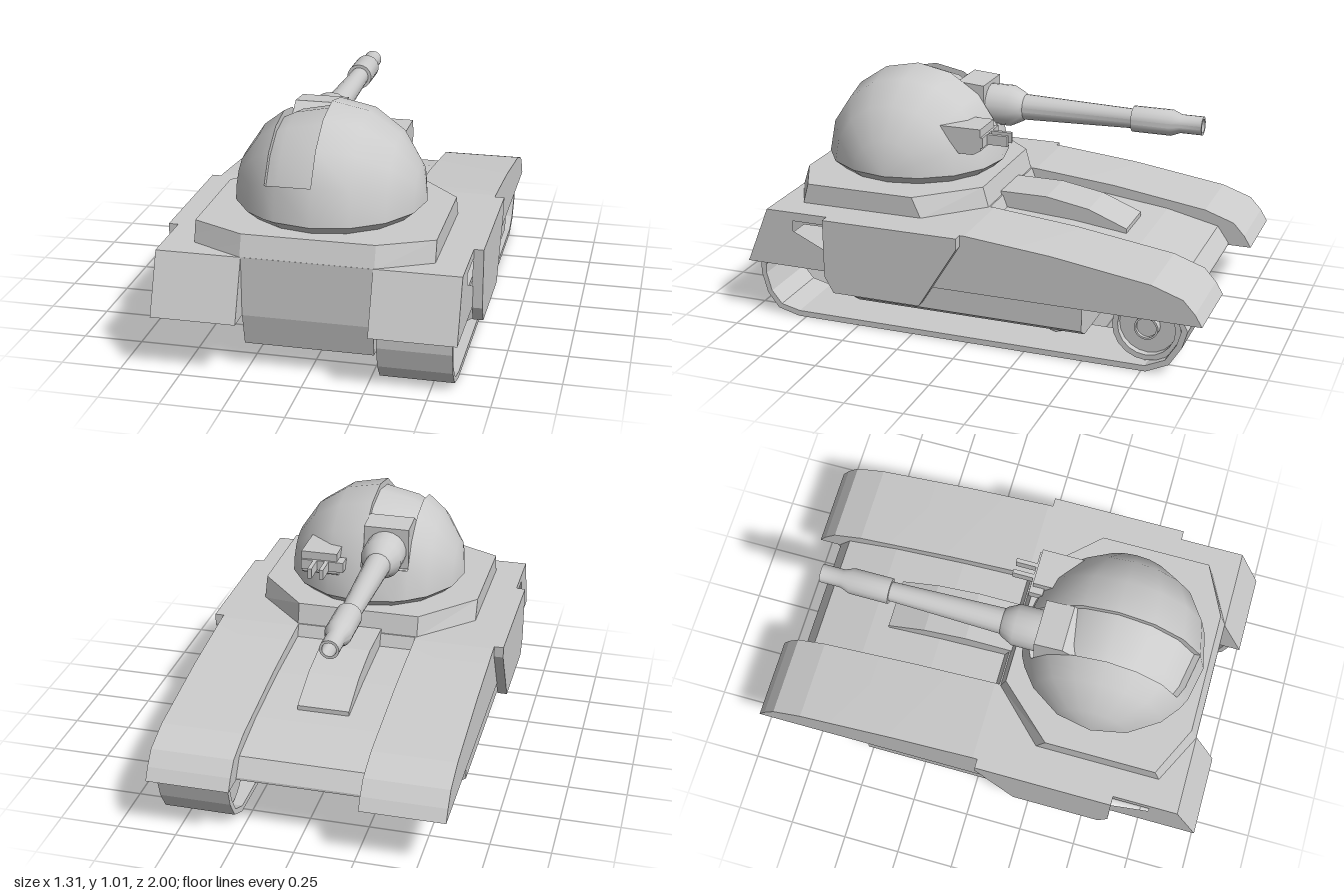
import * as THREE from 'three';
import { toCreasedNormals } from 'three/addons/utils/BufferGeometryUtils.js';

const material = new THREE.MeshStandardMaterial({ color: 0xcccccc });
const thin = new THREE.MeshStandardMaterial({ color: 0xcccccc, side: THREE.DoubleSide });
const SHARP = 0.05, SMOOTH = 0.6;

export function createModel() {
  const model = new THREE.Group();

  const add = (name, geometry, crease = SHARP, mat = material) => {
    const mesh = new THREE.Mesh(toCreasedNormals(geometry, crease), mat);
    mesh.name = name;
    model.add(mesh);
    return mesh;
  };

  // Shape from [z, y] points, seen from the side
  const sideShape = (pts, hole) => {
    const toV = ([z, y]) => new THREE.Vector2(-z, y);
    const shape = new THREE.Shape(pts.map(toV));
    if (hole) shape.holes.push(new THREE.Path(hole.map(toV)));
    return shape;
  };

  // Side profile extruded across x
  const prism = (pts, xa, xb, hole) => {
    const x0 = Math.min(xa, xb);
    return new THREE.ExtrudeGeometry(sideShape(pts, hole), { depth: Math.abs(xb - xa), bevelEnabled: false })
      .rotateY(Math.PI / 2).translate(x0, 0, 0);
  };

  // Skin over rows of [x, y, z] points
  const skin = (rows) => {
    const n = rows[0].length;
    const index = [];
    for (let i = 0; i < rows.length - 1; i++) {
      for (let j = 0; j < n - 1; j++) {
        const a = i * n + j, b = a + 1, d = a + n, c = d + 1;
        index.push(a, d, b, d, c, b);
      }
    }
    const geometry = new THREE.BufferGeometry();
    geometry.setAttribute('position', new THREE.Float32BufferAttribute(rows.flat(2), 3));
    geometry.setIndex(index);
    return geometry;
  };

  // Lathe from [radius, length] points
  const turned = (pts, segments) =>
    new THREE.LatheGeometry(pts.map(([r, l]) => new THREE.Vector2(r, l)), segments);

  // Central hull and raised engine cover
  add('hull', prism([[0.9, 0.488], [0.02, 0.488], [0, 0.435], [-0.3, 0.415], [-0.62, 0.375], [-0.85, 0.322],
    [-0.9, 0.25], [-0.9, 0.24], [-0.64, 0.105], [0.87, 0.105], [0.9, 0.24]], -0.265, 0.265));
  add('engineCover', prism([[0.03, 0.505], [-0.18, 0.505], [-0.37, 0.472], [-0.54, 0.405], [-0.54, 0.37],
    [0.03, 0.4]], -0.11, 0.11));

  // Hollow fenders, side skirts and lower side boxes
  const fenderTop = [[1, 0.24], [0.9, 0.488], [0, 0.488], [-0.37, 0.452], [-0.79, 0.39],
    [-0.92, 0.345], [-0.97, 0.29], [-1, 0.24]];
  const slot = [[0.78, 0.45], [0.62, 0.45], [0.62, 0.33], [0.78, 0.405]];
  const skirt = [[0.62, 0.488], [0.02, 0.488], [0.02, 0.44], [0.19, 0.165], [0.58, 0.165], [0.62, 0.235]];
  for (const s of [-1, 1]) {
    const side = s > 0 ? 'left' : 'right';
    const [xa, xb] = s > 0 ? [0.265, 0.615] : [-0.615, -0.265];
    add(side + 'FenderTop', skin([xa, xb].map((x) => fenderTop.map(([z, y]) => [x, y, z]))), SHARP, thin);
    for (const x of [0.265, 0.615]) {
      const plate = new THREE.ShapeGeometry(sideShape(fenderTop, x > 0.5 ? slot : null));
      add(side + 'FenderWall', plate.rotateY(Math.PI / 2).translate(s * x, 0, 0), SHARP, thin);
    }
    add(side + 'Skirt', prism(skirt, s * 0.612, s * 0.655));
    const box = [[0.26, 0.105], [0.555, 0.105], [0.6, 0.135], [0.6, 0.26], [0.26, 0.26]];
    const section = new THREE.Shape(box.map(([x, y]) => new THREE.Vector2(s * x, y)));
    add(side + 'SideBox', new THREE.ExtrudeGeometry(section, { depth: 1.01, bevelEnabled: false })
      .translate(0, 0, -0.5));
  }

  // Single track with its wheels, on the left side
  const outer = [[0.9, 0.3], [0.955, 0.23], [0.955, 0.18], [0.93, 0.09], [0.88, 0.025], [0.785, 0],
    [-0.77, 0], [-0.865, 0.045], [-0.915, 0.125], [-0.937, 0.2], [-0.9, 0.275], [-0.83, 0.32]];
  const inner = [[0.88, 0.277], [0.932, 0.22], [0.932, 0.18], [0.91, 0.1], [0.865, 0.045], [0.78, 0.025],
    [-0.765, 0.025], [-0.848, 0.063], [-0.893, 0.135], [-0.912, 0.2], [-0.885, 0.26], [-0.825, 0.297]];
  add('track', prism(outer, 0.29, 0.59, inner));
  const wheel = add('driveWheel', turned([[0, 0], [0.143, 0], [0.143, 0.23], [0.12, 0.23], [0.12, 0.2],
    [0.05, 0.2], [0.05, 0.235], [0.042, 0.235], [0.042, 0.22], [0, 0.22]], 20).rotateZ(-Math.PI / 2), SMOOTH);
  wheel.position.set(0.33, 0.178, -0.76);
  const roller = add('roller', new THREE.CylinderGeometry(0.09, 0.09, 0.12, 12).rotateZ(Math.PI / 2), SMOOTH);
  roller.position.set(0.36, 0.12, -0.33);

  // Eight-sided turret platform
  const ring = (y, front, frontCorner, rear, rearCorner) => {
    const pts = [[0.49, rearCorner], [0.49, frontCorner], [0.27, front], [-0.27, front],
      [-0.49, frontCorner], [-0.49, rearCorner], [-0.27, rear], [0.27, rear]];
    return [...pts, pts[0]].map(([x, z]) => [x, y, z]);
  };
  const platformTop = ring(0.575, 0.87, 0.765, 0.05, 0.285);
  add('turretPlatform', skin([ring(0.485, 0.9, 0.79, 0.025, 0.245), platformTop,
    platformTop.map(() => [0, 0.575, 0.455])]), SHARP, thin);

  // Dome with a sunken gun slot between x = -0.2 and x = 0
  const R = 0.397, turretZ = 0.455, domeY = 0.615;
  add('turretRing', new THREE.CylinderGeometry(R, 0.35, 0.04, 16).translate(0, 0.595, turretZ), SMOOTH);
  const angles = [0, 1, 1, 2, 3, 4, 5, 6, 7, 7, 8];
  const domeRow = (x, sunken) => angles.map((k, j) => {
    const inSlot = sunken && j > 1 && j < angles.length - 2;
    const r = Math.sqrt(Math.max(0, R * R - x * x)) - (inSlot ? 0.028 : 0);
    const t = k * Math.PI / 8;
    return [x, domeY + r * Math.sin(t), turretZ + r * Math.cos(t)];
  });
  const stations = [[-R], [-0.367], [-0.281], [-0.2], [-0.2, true], [-0.152, true], [0, true], [0],
    [0.152], [0.281], [0.367], [R]];
  add('turretDome', skin(stations.map(([x, sunken]) => domeRow(x, sunken))), SMOOTH);

  // Gun mount and barrel pointing to -z
  add('gunMount', prism([[0.33, 0.9], [0.27, 0.945], [0.15, 0.935], [0.15, 0.75], [0.33, 0.75]], -0.2, 0));
  const barrel = add('gunBarrel', turned([[0.09, -0.02], [0.09, 0.1], [0.065, 0.15], [0.056, 0.16],
    [0.042, 0.65], [0.056, 0.65], [0.056, 0.82], [0.04, 0.86], [0.04, 0.955], [0.029, 0.955],
    [0.029, 0.75], [0, 0.75]], 18).rotateX(-Math.PI / 2), SMOOTH);
  barrel.position.set(-0.1, 0.83, 0.15);

  // Small twin-pronged sight on the turret side
  add('sightBox', prism([[0.255, 0.825], [0.065, 0.825], [0.065, 0.73], [0.1, 0.71], [0.165, 0.71]], 0.1, 0.26));
  add('sightBar', new THREE.BoxGeometry(0.19, 0.045, 0.06).translate(0.165, 0.767, 0.085));
  for (const x of [0.145, 0.197]) {
    add('sightProng', new THREE.BoxGeometry(0.018, 0.045, 0.14).translate(x, 0.767, 0.035));
  }

  return model;
}
